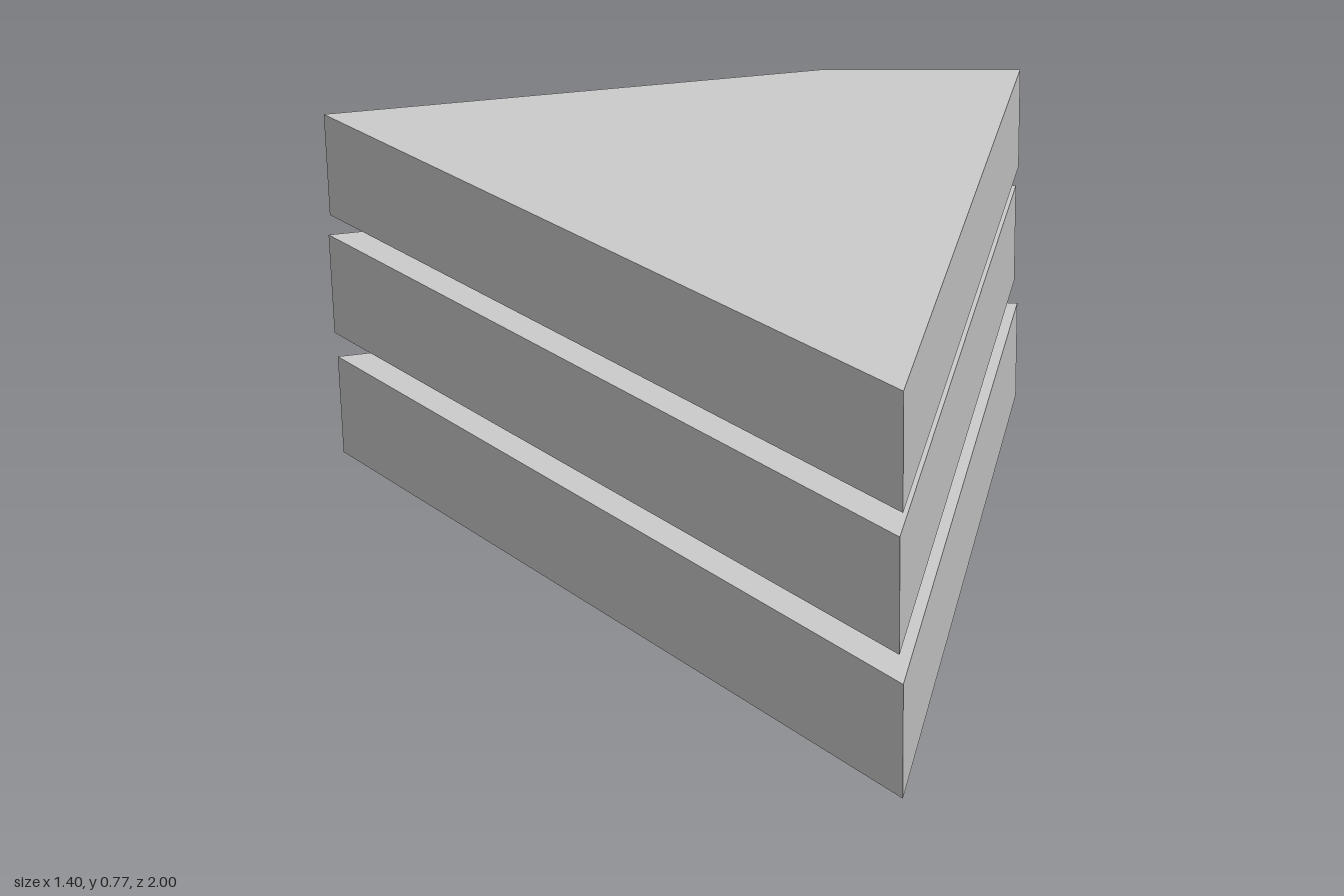
import * as THREE from 'three';

// Corners of one wedge-shaped slab, as [x, z]
const OUTLINE = [[-0.695, -0.997], [0.345, -0.63], [0.7, -0.366], [-0.66, 0.985]];
const THICKNESS = 0.226;

// Slightly misaligned stack: base height and shift of each slab
const SLABS = [
  { name: 'bottomSlab', x: -0.01, y: 0, z: 0.016 },
  { name: 'middleSlab', x: -0.005, y: 0.275, z: -0.002 },
  { name: 'topSlab', x: 0, y: 0.546, z: 0 },
];

export function createModel() {
  const group = new THREE.Group();
  group.name = 'stackedWedgeSlabs';
  const material = new THREE.MeshStandardMaterial({ color: 0xcccccc, flatShading: true });

  // Outline drawn flat, extruded upward
  const shape = new THREE.Shape(OUTLINE.map(([x, z]) => new THREE.Vector2(x, -z)));
  const geometry = new THREE.ExtrudeGeometry(shape, { depth: THICKNESS, bevelEnabled: false });
  geometry.rotateX(-Math.PI / 2);

  for (const { name, x, y, z } of SLABS) {
    const slab = new THREE.Mesh(geometry, material);
    slab.name = name;
    slab.position.set(x, y, z);
    group.add(slab);
  }
  return group;
}
